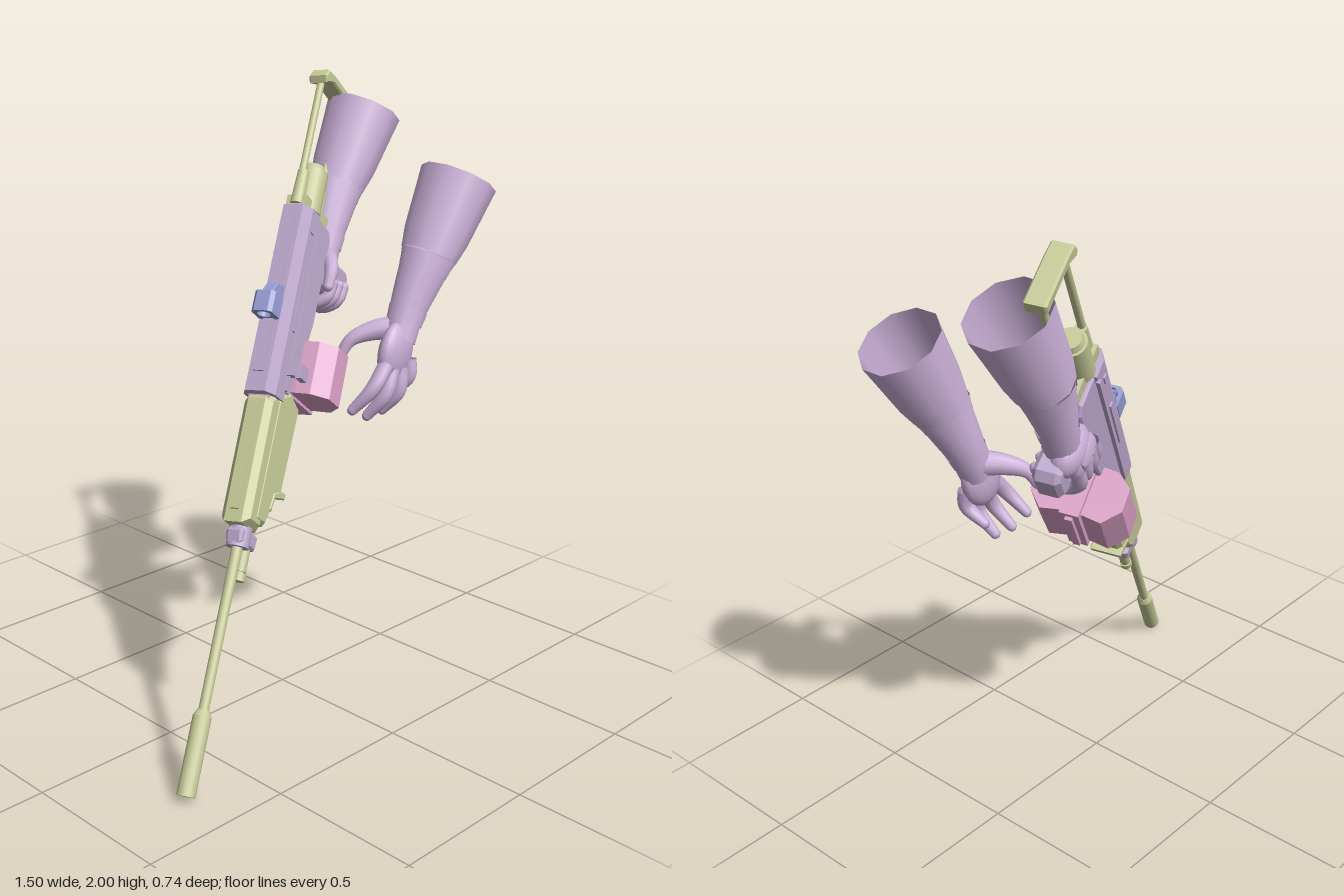
import * as THREE from 'three';

const mat = (name, color, extra = {}) => {
  const m = new THREE.MeshStandardMaterial({ color, ...extra });
  m.name = name;
  return m;
};

export function createModel() {
  const purple = mat('receiver purple', 0xbda8cd);
  const skin = mat('glove purple', 0xc9aed6, { side: THREE.DoubleSide });
  const olive = mat('pale olive', 0xc5c997);
  const pink = mat('magazine pink', 0xd9a0c5);
  const blue = mat('sight blue', 0x989dd4);

  const root = new THREE.Group();
  root.name = 'rifleWithArms';

  // Gun frame: x runs from muzzle to butt, y is the sight side, z the gun's near side
  const gun = new THREE.Group();
  gun.name = 'rifle';
  const A = new THREE.Vector3(0.526, 0.811, -0.262).normalize();
  const U = new THREE.Vector3(-0.779, 0.577, 0.2245);
  U.addScaledVector(A, -U.dot(A)).normalize();
  const S = new THREE.Vector3().crossVectors(A, U);
  const basis = new THREE.Matrix4().makeBasis(A, U, S);
  gun.quaternion.setFromRotationMatrix(basis);
  gun.position.set(-0.728, 0.017, 0.335);
  root.add(gun);

  const add = (parent, name, geo, material) => {
    const m = new THREE.Mesh(geo, material);
    m.name = name;
    parent.add(m);
    return m;
  };
  // Box given by its limits in the gun frame
  const box = (name, material, x0, x1, y0, y1, z0, z1) => {
    const g = new THREE.BoxGeometry(x1 - x0, y1 - y0, z1 - z0);
    g.translate((x0 + x1) / 2, (y0 + y1) / 2, (z0 + z1) / 2);
    return add(gun, name, g, material);
  };
  // Cylinder along the gun
  const rod = (name, material, x0, x1, y, r0, r1 = r0, z = 0, sides = 16) => {
    const g = new THREE.CylinderGeometry(r1, r0, x1 - x0, sides);
    g.rotateZ(-Math.PI / 2).translate((x0 + x1) / 2, y, z);
    return add(gun, name, g, material);
  };
  // Side profile extruded across the gun
  const slab = (name, material, pts, half, bevel = 0.008) => {
    const shape = new THREE.Shape(pts.map(p => new THREE.Vector2(...p)));
    const g = new THREE.ExtrudeGeometry(shape, {
      depth: 2 * (half - bevel), bevelEnabled: true, bevelSize: bevel,
      bevelThickness: bevel, bevelOffset: -bevel, bevelSegments: 1 });
    g.translate(0, 0, -(half - bevel));
    return add(gun, name, g, material);
  };
  // Cross profile (side, up) extruded along the gun
  const along = (name, material, pts, x0, x1) => {
    const shape = new THREE.Shape(pts.map(([s, u]) => new THREE.Vector2(-s, u)));
    const g = new THREE.ExtrudeGeometry(shape, { depth: x1 - x0, bevelEnabled: false });
    g.rotateY(Math.PI / 2).translate(x0, 0, 0);
    return add(gun, name, g, material);
  };
  // Tapering round limb through points [x, y, z, radius], with optional round tip
  const limb = (parent, name, pts, sides = 10, tip = false, steps = 14) => {
    const curve = new THREE.CatmullRomCurve3(pts.map(p => new THREE.Vector3(p[0], p[1], p[2])));
    const g = new THREE.TubeGeometry(curve, steps, 1, sides);
    const pos = g.attributes.position, v = new THREE.Vector3();
    for (let i = 0; i <= steps; i++) {
      const c = curve.getPointAt(i / steps);
      const t = curve.getUtoTmapping(i / steps) * (pts.length - 1);
      const k = Math.min(Math.floor(t), pts.length - 2);
      const r = THREE.MathUtils.lerp(pts[k][3], pts[k + 1][3], t - k);
      for (let j = 0; j <= sides; j++) {
        const n = i * (sides + 1) + j;
        v.fromBufferAttribute(pos, n).sub(c).multiplyScalar(r).add(c);
        pos.setXYZ(n, v.x, v.y, v.z);
      }
    }
    add(parent, name, g, skin);
    if (tip) {
      const e = pts[pts.length - 1];
      add(parent, name + 'Tip', new THREE.SphereGeometry(e[3], sides, 8).translate(e[0], e[1], e[2]), skin);
    }
  };
  const blob = (parent, name, p, s, rot = [0, 0, 0]) => {
    const m = add(parent, name, new THREE.SphereGeometry(1, 16, 12), skin);
    m.position.set(...p);
    m.scale.set(...s);
    m.rotation.set(...rot);
  };

  // Barrel, suppressor and gas regulator
  rod('suppressor', olive, 0, 0.235, 0, 0.029);
  rod('suppressorTaper', olive, 0.235, 0.255, 0, 0.029, 0.018);
  rod('barrel', olive, 0.25, 1.25, 0, 0.016, 0.019);
  slab('barrelCollar', purple, [[0.76, -0.07], [0.81, -0.075], [0.815, 0.03], [0.8, 0.045], [0.765, 0.035]], 0.028);
  rod('collarRing', purple, 0.755, 0.82, 0, 0.036);
  rod('gasTube', olive, 0.69, 0.92, -0.05, 0.019);
  rod('gasKnob', olive, 0.66, 0.685, -0.05, 0.021);
  rod('gasKnobNeck', olive, 0.68, 0.7, -0.05, 0.014);

  // Handguard with its lower front lip
  slab('handguardTop', olive, [[0.815, -0.04], [1.25, -0.05], [1.25, 0.05], [1.22, 0.072], [0.82, 0.066]], 0.05, 0.02);
  slab('handguardLower', olive, [[0.84, -0.06], [0.9, -0.085], [0.945, -0.085], [0.965, -0.13],
    [1.26, -0.142], [1.29, -0.06], [1.25, 0.02], [0.84, 0.02]], 0.052, 0.014);
  slab('handguardLip', olive, [[0.895, -0.075], [0.94, -0.085], [0.955, -0.15], [0.975, -0.152],
    [0.975, -0.12], [0.955, -0.07], [0.9, -0.06]], 0.055, 0.004);
  box('handguardRib', olive, 0.86, 1.2, 0.066, 0.078, -0.015, 0.015);

  // Receiver, top cover and side details
  box('feedBlock', pink, 1.2, 1.3, -0.04, 0.064, -0.036, 0.036);
  along('topCover', purple, [[-0.056, 0], [0.056, 0], [0.056, 0.06], [0.035, 0.098], [-0.035, 0.098], [-0.056, 0.06]], 1.235, 1.88);
  slab('receiverBody', purple, [[1.27, -0.05], [1.4, -0.1], [1.55, -0.125], [1.85, -0.125], [1.88, -0.1], [1.88, 0.01], [1.27, 0.01]], 0.047, 0.006);
  box('topRail', purple, 1.3, 1.86, 0.096, 0.106, -0.018, 0.018);
  for (const s of [-1, 1]) {
    box('coverRib', purple, 1.27, 1.86, -0.006, 0.008, s * 0.058 - 0.006, s * 0.058 + 0.006);
    box('sideStrip', purple, 1.46, 1.68, 0.022, 0.042, s * 0.056 - 0.006, s * 0.056 + 0.006);
    box('rearPin', purple, 1.8, 1.83, 0.03, 0.05, s * 0.056 - 0.005, s * 0.056 + 0.005);
  }
  box('chargingHandle', purple, 1.32, 1.345, -0.01, 0.015, 0.05, 0.11);
  box('handleKnob', purple, 1.31, 1.355, -0.025, 0.02, 0.09, 0.112);

  // Reflex sight: base, hood with an opening
  box('sightBase', blue, 1.475, 1.585, 0.09, 0.115, -0.03, 0.03);
  const hood = new THREE.Shape([[-0.036, 0.1], [0.036, 0.1], [0.036, 0.158], [0.024, 0.17], [-0.024, 0.17], [-0.036, 0.158]]
    .map(p => new THREE.Vector2(...p)));
  const opening = new THREE.Path();
  opening.absarc(0, 0.138, 0.023, 0, Math.PI * 2, true);
  hood.holes.push(opening);
  const hoodGeo = new THREE.ExtrudeGeometry(hood, { depth: 0.07, bevelEnabled: false, curveSegments: 8 });
  add(gun, 'sightHood', hoodGeo.rotateY(Math.PI / 2).translate(1.475, 0, 0), blue);
  slab('sightRear', blue, [[1.54, 0.1], [1.59, 0.1], [1.59, 0.125], [1.545, 0.155]], 0.02, 0.003);

  // Twin drum magazine with centre ribs
  along('magazine', pink, [[-0.05, -0.08], [-0.1, -0.085], [-0.15, -0.13], [-0.152, -0.21], [-0.1, -0.265], [-0.04, -0.255],
    [0.04, -0.255], [0.1, -0.265], [0.152, -0.21], [0.15, -0.13], [0.1, -0.085], [0.05, -0.08]], 1.295, 1.475);
  along('magazineCentre', pink, [[-0.032, -0.05], [-0.032, -0.27], [0.032, -0.27], [0.032, -0.05]], 1.285, 1.49);
  along('magazineRib', pink, [[-0.012, -0.26], [-0.012, -0.282], [0.012, -0.282], [0.012, -0.26]], 1.3, 1.475);

  // Trigger group and pistol grip
  const guard = new THREE.CatmullRomCurve3([[1.53, -0.11], [1.54, -0.165], [1.6, -0.185], [1.66, -0.175], [1.69, -0.12]]
    .map(([x, y]) => new THREE.Vector3(x, y, 0)));
  add(gun, 'triggerGuard', new THREE.TubeGeometry(guard, 16, 0.009, 8), purple);
  slab('trigger', purple, [[1.6, -0.11], [1.62, -0.11], [1.61, -0.165], [1.6, -0.165]], 0.007, 0.002);
  slab('pistolGrip', purple, [[1.68, -0.1], [1.8, -0.1], [1.825, -0.3], [1.8, -0.325], [1.72, -0.325], [1.7, -0.3]], 0.045, 0.015);

  // Folding stock: hinge drum, two struts and butt plate
  rod('stockDrum', olive, 1.89, 2.04, 0.005, 0.05);
  rod('stockDrumCap', olive, 2.04, 2.06, 0.005, 0.042, 0.036);
  box('stockBase', olive, 1.875, 1.92, -0.1, 0.085, -0.035, 0.035);
  rod('upperSleeve', olive, 1.89, 2.01, 0.075, 0.023, 0.019);
  rod('upperStrut', olive, 2, 2.35, 0.082, 0.0125);
  rod('lowerSleeve', olive, 1.89, 2.01, -0.075, 0.023, 0.019);
  rod('lowerStrut', olive, 2, 2.35, -0.078, 0.0125);
  slab('buttPlate', olive, [[2.325, 0.1], [2.345, 0.115], [2.375, 0.1], [2.382, 0.05], [2.385, -0.11],
    [2.35, -0.112], [2.35, 0.05]], 0.034, 0.006);

  // Trigger hand, wrapped round the grip
  const hand = new THREE.Group();
  hand.name = 'triggerHand';
  gun.add(hand);
  blob(hand, 'palm', [1.79, -0.2, -0.03], [0.065, 0.09, 0.055]);
  blob(hand, 'backOfHand', [1.75, -0.19, -0.06], [0.07, 0.075, 0.035]);
  for (let i = 0; i < 3; i++) {
    const y = -0.175 - 0.042 * i, x = 0.012 * i;
    limb(hand, 'finger', [[1.77 + x, y, -0.075, 0.024], [1.69 + x, y - 0.003, -0.07, 0.024],
      [1.65 + x, y - 0.005, -0.015, 0.023], [1.67 + x, y - 0.005, 0.045, 0.021], [1.72 + x, y, 0.062, 0.018]], 10, true);
  }
  limb(hand, 'indexFinger', [[1.76, -0.14, -0.07, 0.024], [1.69, -0.14, -0.07, 0.023],
    [1.625, -0.145, -0.045, 0.02], [1.6, -0.148, 0.01, 0.017]], 10, true);
  limb(hand, 'thumb', [[1.82, -0.18, 0, 0.035], [1.8, -0.14, 0.045, 0.028],
    [1.75, -0.125, 0.07, 0.023], [1.69, -0.13, 0.068, 0.018]], 10, true);

  // Supporting hand, below the magazine
  const left = new THREE.Group();
  left.name = 'supportHand';
  root.add(left);
  blob(left, 'palm', [0.345, 1.13, 0.175], [0.082, 0.105, 0.042], [0, 0.15, -0.45]);
  const fingers = [
    [[0.285, 1.1], [0.225, 1.03], [0.185, 0.955]], [[0.315, 1.08], [0.275, 1.0], [0.245, 0.925]],
    [[0.355, 1.08], [0.34, 1.0], [0.32, 0.93]], [[0.395, 1.1], [0.39, 1.04], [0.365, 0.985]]];
  fingers.forEach(([a, b, c], i) => limb(left, 'finger', [[...a, 0.19, 0.027], [...b, 0.195 - 0.008 * (i === 0), 0.025],
    [...c, 0.145 - 0.01 * (i === 0), 0.017]], 10, true));
  limb(left, 'thumb', [[0.375, 1.2, 0.145, 0.042], [0.32, 1.19, 0.095, 0.034],
    [0.265, 1.16, 0.05, 0.023], [0.235, 1.1, 0.027, 0.016]], 10, true);

  // Forearms: wrist, glove cuff and open sleeve
  const arm = (name, end, cuff, wrist, heel) => {
    const g = new THREE.Group();
    g.name = name;
    root.add(g);
    limb(g, 'wrist', [[...heel, 0.055], [...wrist, 0.058], [...cuff, 0.089]], 14);
    limb(g, 'sleeve', [[...cuff, 0.094], [...end, 0.13]], 10, false, 4);
    limb(g, 'gloveCuff', [[...cuff, 0.094], [...new THREE.Vector3(...cuff).lerp(new THREE.Vector3(...wrist), 0.25).toArray(), 0.083]], 14, false, 2);
    limb(g, 'wristBand', [[...new THREE.Vector3(...wrist).lerp(new THREE.Vector3(...cuff), 0.12).toArray(), 0.066],
      [...new THREE.Vector3(...wrist).lerp(new THREE.Vector3(...heel), 0.25).toArray(), 0.061]], 14, false, 2);
  };
  arm('supportArm', [0.635, 1.665, 0.18], [0.5, 1.425, 0.173], [0.405, 1.235, 0.163], [0.37, 1.16, 0.168]);
  arm('triggerArm', [0.64, 1.855, -0.25], [0.5, 1.61, -0.242], [0.41, 1.43, -0.212], [0.375, 1.35, -0.195]);

  return root;
}
